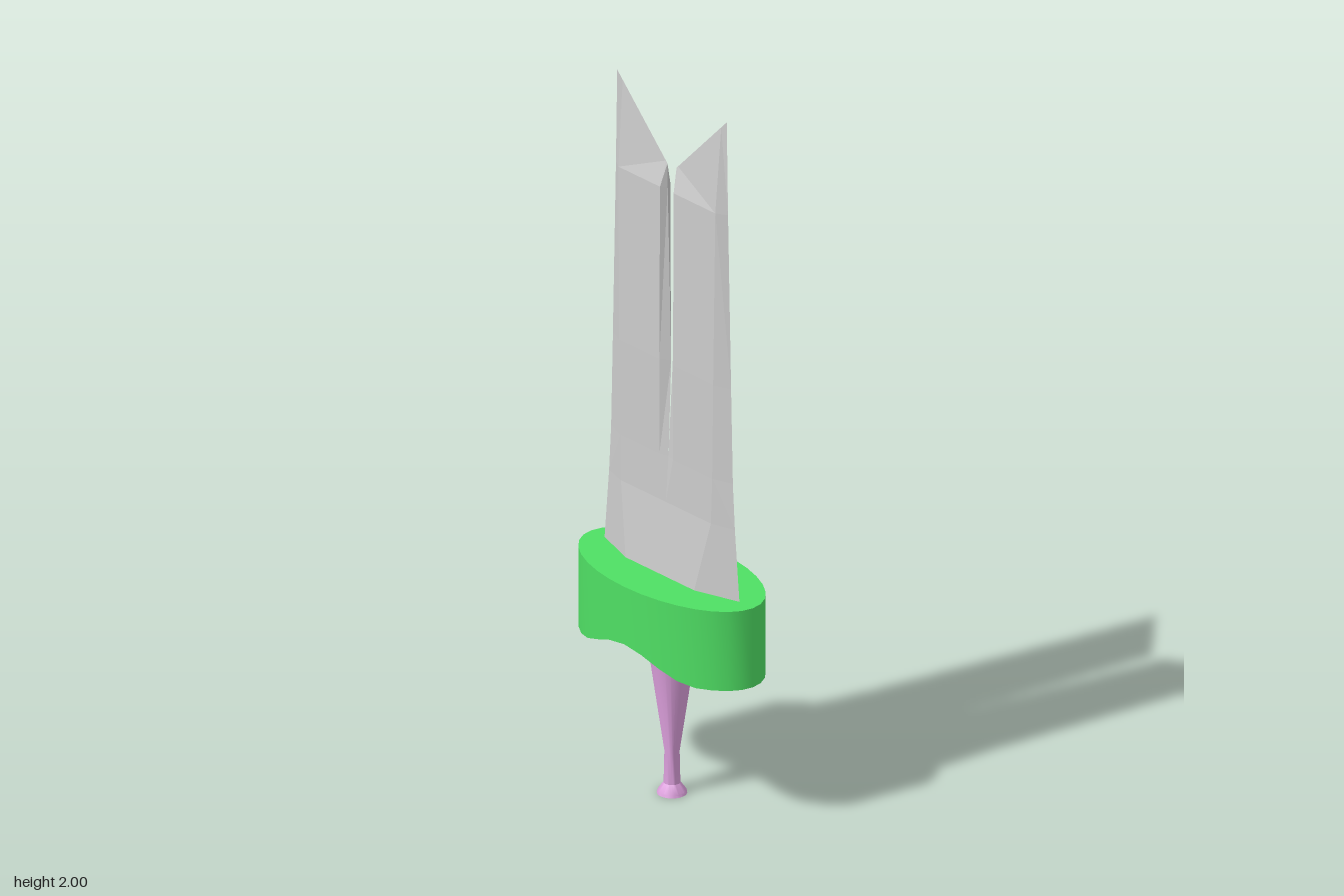
import * as THREE from 'three';
import { mergeGeometries, toCreasedNormals } from 'three/addons/utils/BufferGeometryUtils.js';

// Skins consecutive rows of [x, y, z] points with quads.
function loft(rows, flip = false) {
  const pos = [];
  for (let i = 0; i < rows.length - 1; i++) {
    for (let j = 0; j < rows[i].length - 1; j++) {
      const a = rows[i][j], b = rows[i][j + 1], c = rows[i + 1][j + 1], d = rows[i + 1][j];
      const tris = flip ? [a, c, b, a, d, c] : [a, b, c, a, c, d];
      for (const p of tris) pos.push(...p);
    }
  }
  const g = new THREE.BufferGeometry();
  g.setAttribute('position', new THREE.Float32BufferAttribute(pos, 3));
  g.computeVertexNormals();
  return g;
}

function part(name, geometry, color, extra = {}) {
  const mesh = new THREE.Mesh(geometry, new THREE.MeshStandardMaterial({ color, ...extra }));
  mesh.name = name;
  return mesh;
}

// One quarter of the split blade, mirrored across both planes.
// Each row runs: cutting edge, bevel line, slot lip, slot bottom.
function bladeGeometry() {
  const rows = [
    [[0, 0.6, 0.27], [0.046, 0.6, 0.13], [0.046, 0.6, 0], [0.046, 0.6, 0]],
    [[0, 0.64, 0.267], [0.042, 0.64, 0.136], [0.042, 0.64, 0], [0.042, 0.64, 0]],
    [[0, 0.84, 0.249], [0.021, 0.84, 0.178], [0.021, 0.84, 0], [0.021, 0.84, 0]],
    [[0, 0.97, 0.241], [0.02, 0.97, 0.182], [0.02, 0.97, 0.027], [0.012, 0.97, 0]],
    [[0, 1.24, 0.234], [0.02, 1.24, 0.186], [0.02, 1.24, 0.027], [0, 1.24, 0.003]],
    [[0, 1.735, 0.222], [0.018, 1.735, 0.192], [0.018, 1.735, 0.027], [0, 1.735, 0.017]],
    [[0, 2, 0.217], [0, 1.978, 0.195], [0, 1.806, 0.024], [0, 1.8, 0.018]],
  ];
  const quarters = [];
  for (const sx of [1, -1]) {
    for (const sz of [1, -1]) {
      const mirrored = rows.map(r => r.map(([x, y, z]) => [x * sx, y, z * sz]));
      quarters.push(loft(mirrored, sx * sz < 0));
    }
  }
  return mergeGeometries(quarters);
}

// Elliptical block with an arch cut across its underside.
function guardGeometry() {
  const rows = [], n = 16, top = 0.64;
  for (let k = 0; k <= n; k++) {
    const t = (k / n) * Math.PI;
    const z = 0.32 * Math.cos(t), x = 0.165 * Math.sin(t);
    const s = Math.min(Math.abs(z) / 0.24, 1);
    const low = 0.413 + 0.031 * (1 + Math.cos(Math.PI * s));
    rows.push([[-x, top, z], [x, top, z], [x, low, z], [-x, low, z], [-x, top, z]]);
  }
  return toCreasedNormals(loft(rows), 0.6);
}

// Tapered grip with a small flared pommel.
function handleGeometry() {
  const profile = [[0, 0], [0.04, 0], [0.038, 0.008], [0.022, 0.03], [0.02, 0.12],
    [0.062, 0.41], [0.071, 0.48], [0, 0.48]];
  const g = new THREE.LatheGeometry(profile.map(([r, y]) => new THREE.Vector2(r, y)), 24);
  return toCreasedNormals(g, 0.6);
}

export function createModel() {
  const model = new THREE.Group();
  model.name = 'sword';
  model.add(
    part('blade', bladeGeometry(), 0xcccccc, { flatShading: true }),
    part('guard', guardGeometry(), 0x4fdf64),
    part('handle', handleGeometry(), 0xdda0dd),
  );
  return model;
}
